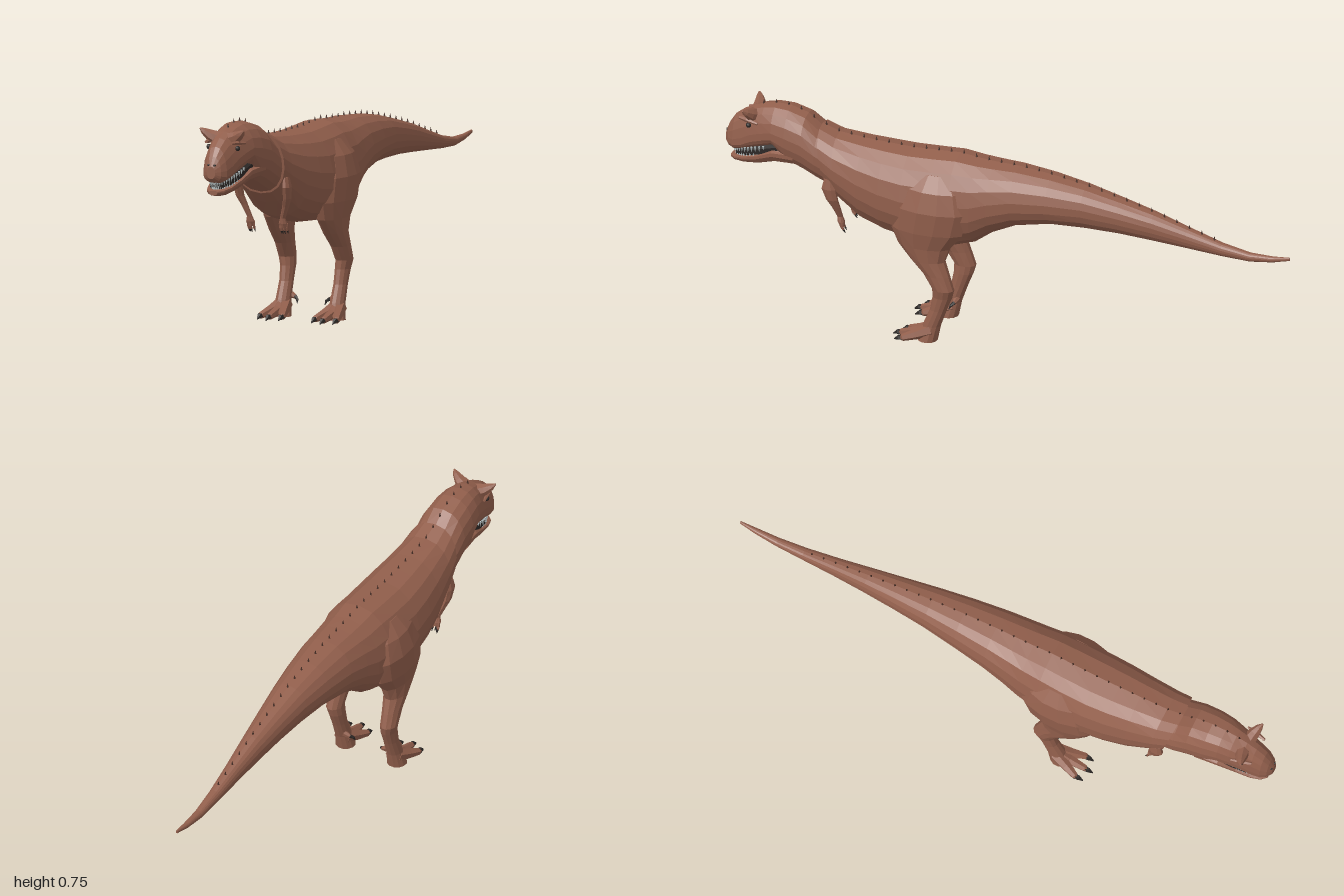
import * as THREE from 'three';

const skin = new THREE.MeshStandardMaterial({ color: 0x925f4c });
skin.name = 'brown skin';
const dark = new THREE.MeshStandardMaterial({ color: 0x2c2826 });
dark.name = 'dark claw';
const spineMat = new THREE.MeshStandardMaterial({ color: 0x4a3027 });
spineMat.name = 'dark brown';
const ivory = new THREE.MeshStandardMaterial({ color: 0xb9c3c4 });
ivory.name = 'grey ivory';

// Sections: z, top, bottom, half width, height fraction of the widest point, backward lean
const BODY = [
  [0.66, 0.69, 0.47, 0.097, 0.5, 0.2], [0.6, 0.668, 0.435, 0.106, 0.5, 0.1], [0.5, 0.66, 0.378, 0.12, 0.48],
  [0.42, 0.657, 0.352, 0.131, 0.46], [0.34, 0.655, 0.338, 0.137, 0.45], [0.24, 0.66, 0.33, 0.136, 0.45],
  [0.17, 0.664, 0.337, 0.132, 0.45], [0.1, 0.656, 0.36, 0.124, 0.45], [0.04, 0.652, 0.405, 0.115, 0.45],
  [-0.04, 0.65, 0.443, 0.104, 0.45], [-0.16, 0.638, 0.467, 0.088, 0.45], [-0.28, 0.618, 0.47, 0.071, 0.5],
  [-0.4, 0.59, 0.468, 0.056, 0.5], [-0.52, 0.56, 0.46, 0.042, 0.5], [-0.64, 0.523, 0.451, 0.03, 0.5],
  [-0.76, 0.487, 0.442, 0.021, 0.5], [-0.86, 0.468, 0.438, 0.015, 0.5], [-0.94, 0.468, 0.448, 0.01, 0.5],
  [-1, 0.474, 0.463, 0.004, 0.5],
];
const HEAD = [
  [1, 0.61, 0.568, 0.015, 0.4], [0.987, 0.642, 0.555, 0.032, 0.3], [0.967, 0.673, 0.55, 0.044, 0.22],
  [0.935, 0.698, 0.556, 0.051, 0.22], [0.9, 0.716, 0.567, 0.058, 0.28], [0.86, 0.73, 0.58, 0.067, 0.3],
  [0.82, 0.737, 0.595, 0.076, 0.3], [0.77, 0.736, 0.54, 0.084, 0.45], [0.71, 0.719, 0.517, 0.088, 0.48],
  [0.66, 0.68, 0.495, 0.09, 0.5], [0.58, 0.645, 0.46, 0.085, 0.5],
];
const JAW = [
  [0.982, 0.526, 0.51, 0.016, 0.8], [0.965, 0.53, 0.506, 0.033, 0.8], [0.93, 0.538, 0.505, 0.045, 0.8],
  [0.88, 0.556, 0.511, 0.054, 0.8], [0.82, 0.59, 0.53, 0.069, 0.75], [0.74, 0.61, 0.535, 0.079, 0.6],
];
// Leg and arm sections: y, centre x, centre z, half width, half depth
const LEG = [
  [0.61, 0.07, 0.23, 0.03, 0.07], [0.56, 0.09, 0.23, 0.048, 0.108], [0.49, 0.101, 0.235, 0.055, 0.135],
  [0.41, 0.1, 0.25, 0.052, 0.13], [0.35, 0.098, 0.262, 0.043, 0.093], [0.3, 0.1, 0.25, 0.037, 0.062],
  [0.25, 0.103, 0.217, 0.031, 0.046], [0.2, 0.105, 0.193, 0.029, 0.038], [0.17, 0.101, 0.197, 0.026, 0.034],
  [0.12, 0.1, 0.212, 0.024, 0.029], [0.06, 0.1, 0.235, 0.026, 0.031], [0.004, 0.1, 0.25, 0.034, 0.034],
];
const ARM = [
  [0.53, 0.088, 0.605, 0.01, 0.018], [0.495, 0.091, 0.605, 0.014, 0.026], [0.455, 0.087, 0.595, 0.013, 0.021],
  [0.425, 0.076, 0.585, 0.011, 0.015], [0.385, 0.061, 0.576, 0.009, 0.01], [0.367, 0.06, 0.572, 0.015, 0.012],
  [0.352, 0.06, 0.569, 0.011, 0.009],
];

// Skins closed rings of points with capped ends and flat faces turned outward
function loft(rings) {
  const n = rings[0].length;
  const tris = [];
  const centre = (r) => r.reduce((s, p) => s.add(p), new THREE.Vector3()).divideScalar(n);
  const first = centre(rings[0]), last = centre(rings[rings.length - 1]);
  for (let j = 0; j < n; j++) {
    const k = (j + 1) % n;
    tris.push([first, rings[0][k], rings[0][j]]);
    tris.push([last, rings[rings.length - 1][j], rings[rings.length - 1][k]]);
    for (let i = 0; i + 1 < rings.length; i++) {
      const a = rings[i][j], b = rings[i][k], c = rings[i + 1][k], d = rings[i + 1][j];
      tris.push([a, b, c], [a, c, d]);
    }
  }
  const volume = tris.reduce((s, [a, b, c]) => s + a.dot(new THREE.Vector3().crossVectors(b, c)), 0);
  const points = tris.flatMap(([a, b, c]) => (volume < 0 ? [a, c, b] : [a, b, c]));
  const geo = new THREE.BufferGeometry().setFromPoints(points);
  geo.computeVertexNormals();
  return geo;
}

function alongZ(sections, sides = 16) {
  return loft(sections.map(([z, top, bottom, rx, w, lean = 0]) => Array.from({ length: sides }, (_, j) => {
    const a = (j / sides) * Math.PI * 2, s = Math.sin(a), c = Math.cos(a);
    const mid = bottom + (top - bottom) * w;
    const y = mid + c * (c > 0 ? top - mid : mid - bottom);
    return new THREE.Vector3(rx * Math.sign(s) * Math.abs(s) ** 0.85, y, z - lean * (top - y));
  })));
}

function alongY(sections, side, sides = 10) {
  return loft(sections.map(([y, x, z, rx, rz]) => Array.from({ length: sides }, (_, j) => {
    const a = ((j + 0.5) / sides) * Math.PI * 2;
    return new THREE.Vector3(side * (x + rx * Math.sin(a)), y, z + rz * Math.cos(a));
  })));
}

// Tapered limb through [x, y, z, radius] points
function taper(points, side, sides = 6) {
  const ps = points.map(([x, y, z]) => new THREE.Vector3(side * x, y, z));
  return loft(ps.map((p, i) => {
    const dir = ps[Math.min(i + 1, ps.length - 1)].clone().sub(ps[Math.max(i - 1, 0)]).normalize();
    const u = new THREE.Vector3(0.31, 0.9, 0.3).cross(dir).normalize();
    const v = dir.clone().cross(u);
    return Array.from({ length: sides }, (_, j) => {
      const a = (j / sides) * Math.PI * 2, r = points[i][3];
      return p.clone().addScaledVector(u, r * Math.cos(a)).addScaledVector(v, r * Math.sin(a));
    });
  }));
}

function heightAt(sections, z) {
  const i = sections.findIndex((s, k) => k + 1 < sections.length && s[0] >= z && sections[k + 1][0] <= z);
  const a = sections[i], b = sections[i + 1];
  return a[1] + ((b[1] - a[1]) * (a[0] - z)) / (a[0] - b[0]);
}

export function createModel() {
  const model = new THREE.Group();
  model.name = 'dinosaur';
  const add = (name, geo, mat, parent = model) => {
    const mesh = new THREE.Mesh(geo, mat);
    mesh.name = name;
    parent.add(mesh);
    return mesh;
  };
  const group = (name) => {
    const g = new THREE.Group();
    g.name = name;
    model.add(g);
    return g;
  };

  add('bodyAndTail', alongZ(BODY, 18), skin);
  add('headAndNeck', alongZ(HEAD, 18), skin);
  add('lowerJaw', alongZ(JAW, 14), skin);
  add('mouthInside', alongZ([[0.962, 0.56, 0.522, 0.022, 0.5], [0.92, 0.575, 0.525, 0.04, 0.5],
    [0.86, 0.6, 0.54, 0.053, 0.5], [0.8, 0.62, 0.56, 0.062, 0.5]], 10), dark);

  // Row of small spikes down the spine
  const spines = group('backSpines');
  const spike = new THREE.ConeGeometry(0.005, 0.018, 4);
  for (let i = 0; i < 37; i++) {
    const z = 0.87 - i * 0.0445;
    const y = heightAt(z > 0.655 ? HEAD : BODY, z);
    add('spine', spike, spineMat, spines).position.set(0, y + 0.005, z);
  }

  // Upper and lower teeth around the jaw arc
  const teeth = group('teeth');
  const tooth = new THREE.ConeGeometry(0.0042, 0.02, 4);
  for (let i = 0; i <= 26; i++) {
    const a = (i / 26 - 0.5) * 2.9;
    const x = 0.051 * Math.sin(a), z = 0.835 + 0.138 * Math.cos(a);
    const gum = 0.551 + (0.975 - z) * 0.28;
    const upper = add('upperTooth', tooth, ivory, teeth);
    upper.position.set(x, gum - 0.005, z + 0.002);
    upper.rotation.x = Math.PI;
    add('lowerTooth', tooth, ivory, teeth).position.set(x * 0.94, gum - 0.018, z - 0.005);
  }

  for (const side of [1, -1]) {
    const label = side > 0 ? 'left' : 'right';

    // Face
    add(label + 'Horn', taper([[0.026, 0.69, 0.895, 0.026], [0.05, 0.701, 0.902, 0.02],
      [0.069, 0.714, 0.91, 0.012], [0.081, 0.724, 0.916, 0.003]], side, 7), skin);
    add(label + 'Brow', taper([[0.047, 0.682, 0.94, 0.005], [0.055, 0.681, 0.91, 0.008],
      [0.064, 0.676, 0.87, 0.004]], side, 5), skin);
    const eye = add(label + 'Eye', new THREE.SphereGeometry(0.009, 8, 6), dark);
    eye.position.set(side * 0.053, 0.662, 0.905);
    const nostril = add(label + 'Nostril', new THREE.SphereGeometry(0.005, 8, 6), dark);
    nostril.position.set(side * 0.011, 0.614, 0.996);
    nostril.scale.set(1, 0.8, 0.7);

    // Leg with three toes and a raised inner claw
    add(label + 'Leg', alongY(LEG, side, 12), skin);
    for (const [x, z] of [[0.061, 0.325], [0.1, 0.342], [0.139, 0.325]]) {
      const mid = 0.1 + (x - 0.1) * 0.62;
      add(label + 'Toe', taper([[0.1 + (x - 0.1) * 0.2, 0.045, 0.235, 0.024], [mid, 0.026, 0.285, 0.018],
        [x, 0.014, z, 0.012], [x, 0.012, z + 0.008, 0.008]], side), skin);
      add(label + 'ToeClaw', taper([[x, 0.013, z - 0.004, 0.0105], [x, 0.013, z + 0.014, 0.009],
        [x, 0.004, z + 0.03, 0.002]], side, 5), dark);
    }
    add(label + 'InnerToe', taper([[0.085, 0.075, 0.215, 0.012], [0.063, 0.066, 0.218, 0.007]], side), skin);
    add(label + 'InnerClaw', taper([[0.065, 0.068, 0.218, 0.007], [0.054, 0.06, 0.226, 0.005],
      [0.051, 0.047, 0.232, 0.001]], side, 5), dark);

    // Small arm with clawed fingers
    add(label + 'Arm', alongY(ARM, side, 8), skin);
    for (const [x, z] of [[0.049, 0.57], [0.057, 0.578], [0.064, 0.574], [0.071, 0.567]]) {
      add(label + 'Finger', taper([[x, 0.368, z, 0.005], [x, 0.352, z - 0.002, 0.0045],
        [x, 0.342, z - 0.006, 0.004]], side, 5), skin);
      add(label + 'FingerClaw', taper([[x, 0.346, z - 0.005, 0.004], [x, 0.331, z - 0.013, 0.001]], side, 4), dark);
    }
  }
  return model;
}
